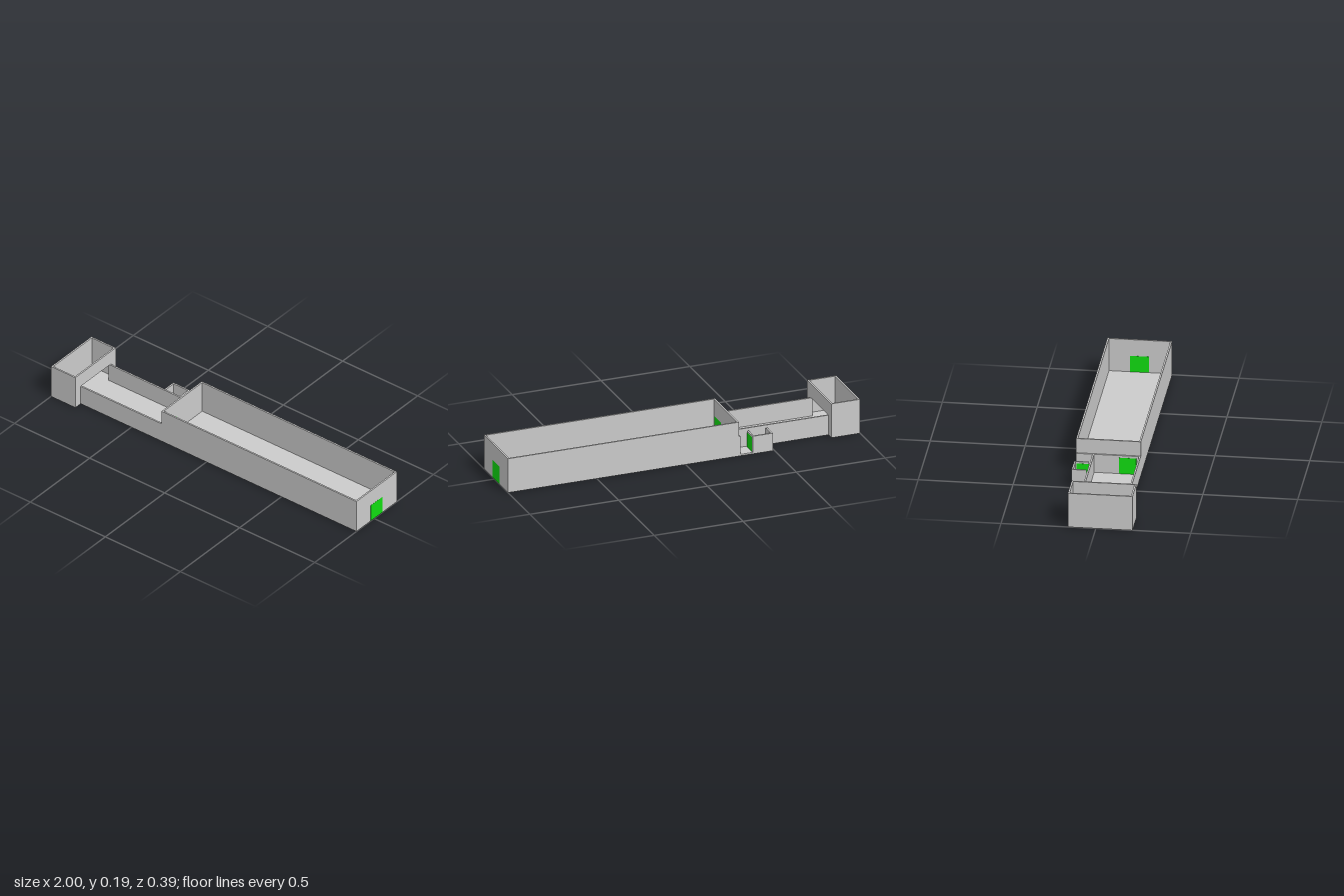
import * as THREE from 'three';

const T = 0.009; // wall and floor thickness

export function createModel() {
  const model = new THREE.Group();
  const grey = new THREE.MeshStandardMaterial({ color: 0xcccccc, flatShading: true });
  const green = new THREE.MeshStandardMaterial({ color: 0x11dd11, flatShading: true });

  // Box given by its limits on each axis
  function block(parent, name, x0, x1, y0, y1, z0, z1, material = grey) {
    const mesh = new THREE.Mesh(new THREE.BoxGeometry(x1 - x0, y1 - y0, z1 - z0), material);
    mesh.position.set((x0 + x1) / 2, (y0 + y1) / 2, (z0 + z1) / 2);
    mesh.name = name;
    parent.add(mesh);
  }

  // Roofless room: a floor and any of its four walls
  function room(name, x0, x1, z0, z1, h, walls) {
    const g = new THREE.Group();
    g.name = name;
    block(g, 'floor', x0, x1, 0, T, z0, z1);
    if (walls.includes('back')) block(g, 'backWall', x0, x1, T, h, z0, z0 + T);
    if (walls.includes('front')) block(g, 'frontWall', x0, x1, T, h, z1 - T, z1);
    if (walls.includes('west')) block(g, 'westWall', x0, x0 + T, T, h, z0 + T, z1 - T);
    if (walls.includes('east')) block(g, 'eastWall', x1 - T, x1, T, h, z0 + T, z1 - T);
    model.add(g);
    return g;
  }

  // Long main hall
  room('mainHall', -0.3, 1, -0.193, 0.148, 0.193, ['back', 'front', 'west', 'east']);

  // Low corridor joining the hall to the end room
  room('corridor', -0.838, -0.3, -0.106, 0.148, 0.112, ['back', 'front']);
  block(model, 'corridorEndWall', -0.3 - T, -0.3, 0, 0.112, -0.193, 0.148 - T);

  // Small side room and the open porch beside it
  room('sideRoom', -0.49, -0.378, -0.193, -0.106, 0.1, ['back', 'west', 'east']);
  block(model, 'porchFloor', -0.378, -0.3 - T, 0, T, -0.193, -0.106);

  // End room, open to the corridor below a lintel
  const end = room('endRoom', -1, -0.838, -0.148, 0.193, 0.193, ['back', 'front', 'west']);
  const ex = [-0.838 - T, -0.838];
  block(end, 'doorwayPierBack', ...ex, T, 0.193, -0.148 + T, -0.106 + T);
  block(end, 'doorwayPierFront', ...ex, T, 0.193, 0.148 - T, 0.193 - T);
  block(end, 'doorwayLintel', ...ex, 0.112, 0.193, -0.106 + T, 0.148 - T);

  // Doors, slightly thicker than the walls they sit in
  block(model, 'hallDoor', 0.99, 1.0005, 0.0005, 0.1, -0.072, 0.028, green);
  block(model, 'corridorDoor', -0.31, -0.29, 0.0005, 0.1, 0.035, 0.125, green);
  block(model, 'sideRoomDoor', -0.388, -0.377, 0.0005, 0.09, -0.18, -0.115, green);
  return model;
}
